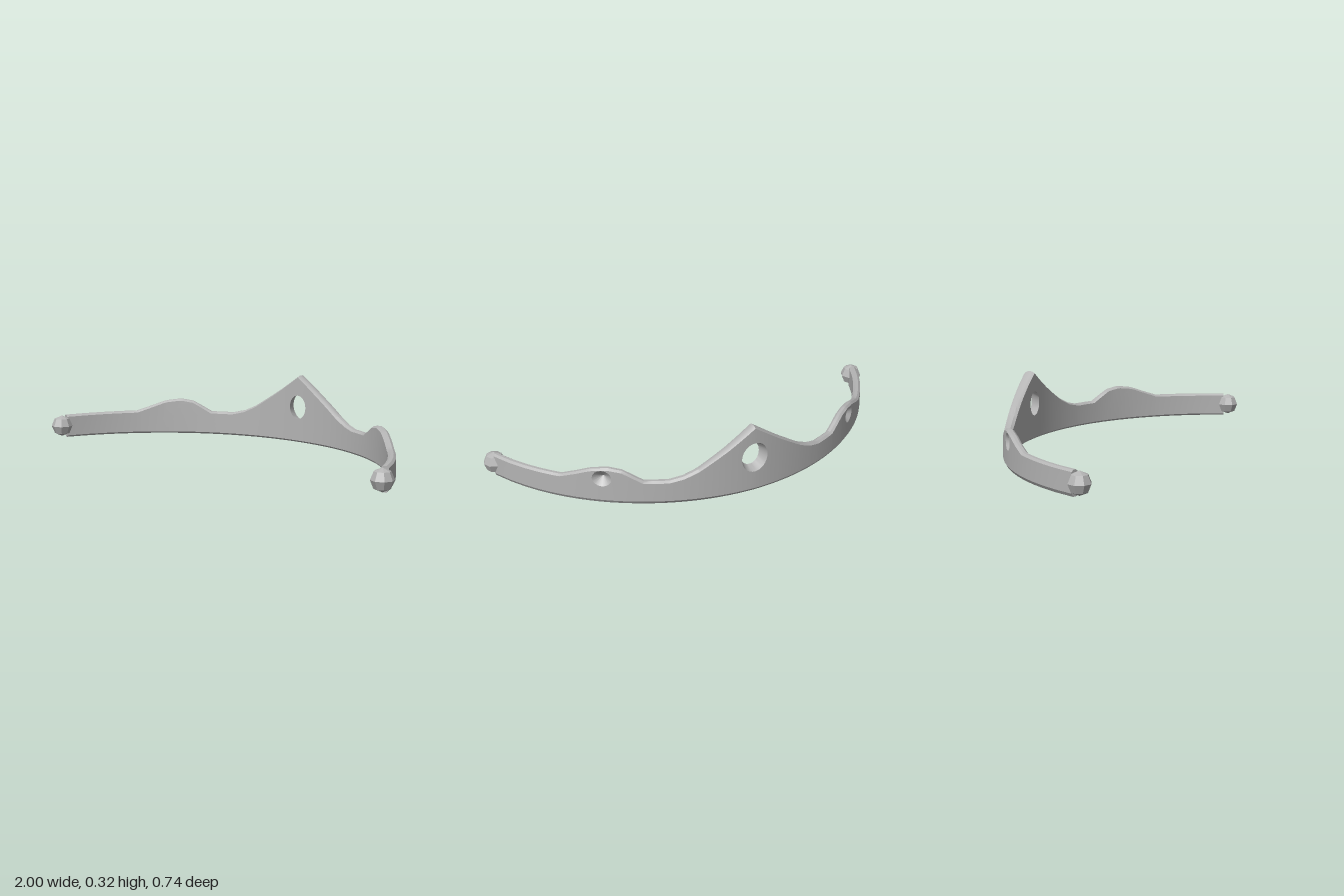
import * as THREE from 'three';
import { toCreasedNormals } from 'three/addons/utils/BufferGeometryUtils.js';

// The band follows a circular arc bulging towards -z
const R = 1.016, CZ = 0.671, END = 0.945;

// Upper edge height against |x|
const TOP = [[0, 0.32], [0.12, 0.238], [0.25, 0.155], [0.31, 0.127], [0.37, 0.112], [0.47, 0.112],
  [0.55, 0.162], [0.6, 0.172], [0.66, 0.162], [0.76, 0.113], [END, 0.109]];

// Openings: rim on the outer face, smaller rim on the inner face (zero makes a blind conical pit)
const pit = { y: 0.122, ox: 0.034, oy: 0.038, ix: 0, iy: 0, n: 8 };
const HOLES = [
  { x: -0.62, ...pit },
  { x: 0, y: 0.17, ox: 0.062, oy: 0.07, ix: 0.048, iy: 0.056, n: 16 },
  { x: 0.62, ...pit },
];

function topAt(x) {
  const a = Math.abs(x);
  const i = Math.max(1, TOP.findIndex(p => p[0] >= a - 1e-6));
  const [x0, y0] = TOP[i - 1], [x1, y1] = TOP[i];
  return y0 + (y1 - y0) * (a - x0) / (x1 - x0);
}

const halfThickness = x => 0.025 - 0.008 * Math.min(1, Math.abs(x) / 0.5);

// Point on the bent band; d runs from -1 (inner face) to 1 (outer face)
function bend(x, y, d) {
  const r = R + d * halfThickness(x), a = Math.asin(x / R);
  return new THREE.Vector3(r * Math.sin(a), y, CZ - r * Math.cos(a));
}

// One column of the band: a loop below the opening and a loop above it
function column(x, hole, theta) {
  const c = hole ? Math.cos(theta) : 0, s = hole ? Math.sin(theta) : 0;
  const yc = hole ? hole.y : 0.06, top = topAt(x);
  const xo = hole ? hole.x + hole.ox * c : x, xi = hole ? hole.x + hole.ix * c : x;
  const ho = hole ? hole.oy * s : 0, hi = hole ? hole.iy * s : 0;
  return {
    x, hole,
    lower: [bend(xo, yc - ho, 1), bend(x, 0.016, 1), bend(x, 0.002, 0.5),
      bend(x, 0.002, -0.6), bend(x, 0.01, -1), bend(xi, yc - hi, -1)],
    upper: [bend(xi, yc + hi, -1), bend(x, top - 0.008, -1), bend(x, top, -0.4),
      bend(x, top, 0.4), bend(x, top - 0.008, 1), bend(xo, yc + ho, 1)],
  };
}

function bandGeometry() {
  const columns = [];
  const xs = new Set();
  for (let i = -24; i <= 24; i++) xs.add(+(END * i / 24).toFixed(4));
  for (const [x] of TOP) { xs.add(x); xs.add(-x); }
  for (const x of xs) {
    if (HOLES.every(h => Math.abs(x - h.x) > h.ox + 0.008)) columns.push(column(x));
  }
  for (const h of HOLES) {
    for (let i = 0; i <= h.n; i++) {
      const t = Math.PI * i / h.n;
      columns.push(column(h.x + h.ox * Math.cos(t), h, t));
    }
  }
  columns.sort((a, b) => a.x - b.x);

  const pos = [];
  const tri = (a, b, c) => {
    const area = b.clone().sub(a).cross(c.clone().sub(a)).length();
    if (area > 1e-9) for (const p of [a, b, c]) pos.push(p.x, p.y, p.z);
  };
  for (let i = 0; i + 1 < columns.length; i++) {
    const A = columns[i], B = columns[i + 1];
    const inHole = A.hole && A.hole === B.hole;
    for (const part of ['lower', 'upper']) {
      const p = A[part], q = B[part], n = p.length;
      // the last side of the loop is the wall of the opening
      for (let j = 0; j < (inHole ? n : n - 1); j++) {
        const k = (j + 1) % n;
        tri(p[j], q[j], q[k]);
        tri(p[j], q[k], p[k]);
      }
    }
  }
  // end caps
  const cap = (col, flip) => {
    const ring = [...col.lower, ...col.upper];
    for (let j = 1; j + 1 < ring.length; j++) {
      if (flip) tri(ring[0], ring[j + 1], ring[j]);
      else tri(ring[0], ring[j], ring[j + 1]);
    }
  };
  cap(columns[0], false);
  cap(columns[columns.length - 1], true);

  const geo = new THREE.BufferGeometry();
  geo.setAttribute('position', new THREE.Float32BufferAttribute(pos, 3));
  return toCreasedNormals(geo, 0.5);
}

export function createModel() {
  const model = new THREE.Group();
  model.name = 'tiara';
  const metal = new THREE.MeshStandardMaterial({ color: 0xb4b4b4 });
  metal.name = 'grey metal';

  const band = new THREE.Mesh(bandGeometry(), metal);
  band.name = 'band';
  model.add(band);

  // faceted knobs on both ends
  const knobGeo = toCreasedNormals(new THREE.SphereGeometry(0.05, 8, 4), 0.3);
  for (const side of [-1, 1]) {
    const knob = new THREE.Mesh(knobGeo, metal);
    knob.name = side > 0 ? 'leftKnob' : 'rightKnob';
    knob.position.set(side * 0.95, 0.058, 0.32);
    model.add(knob);
  }
  return model;
}
